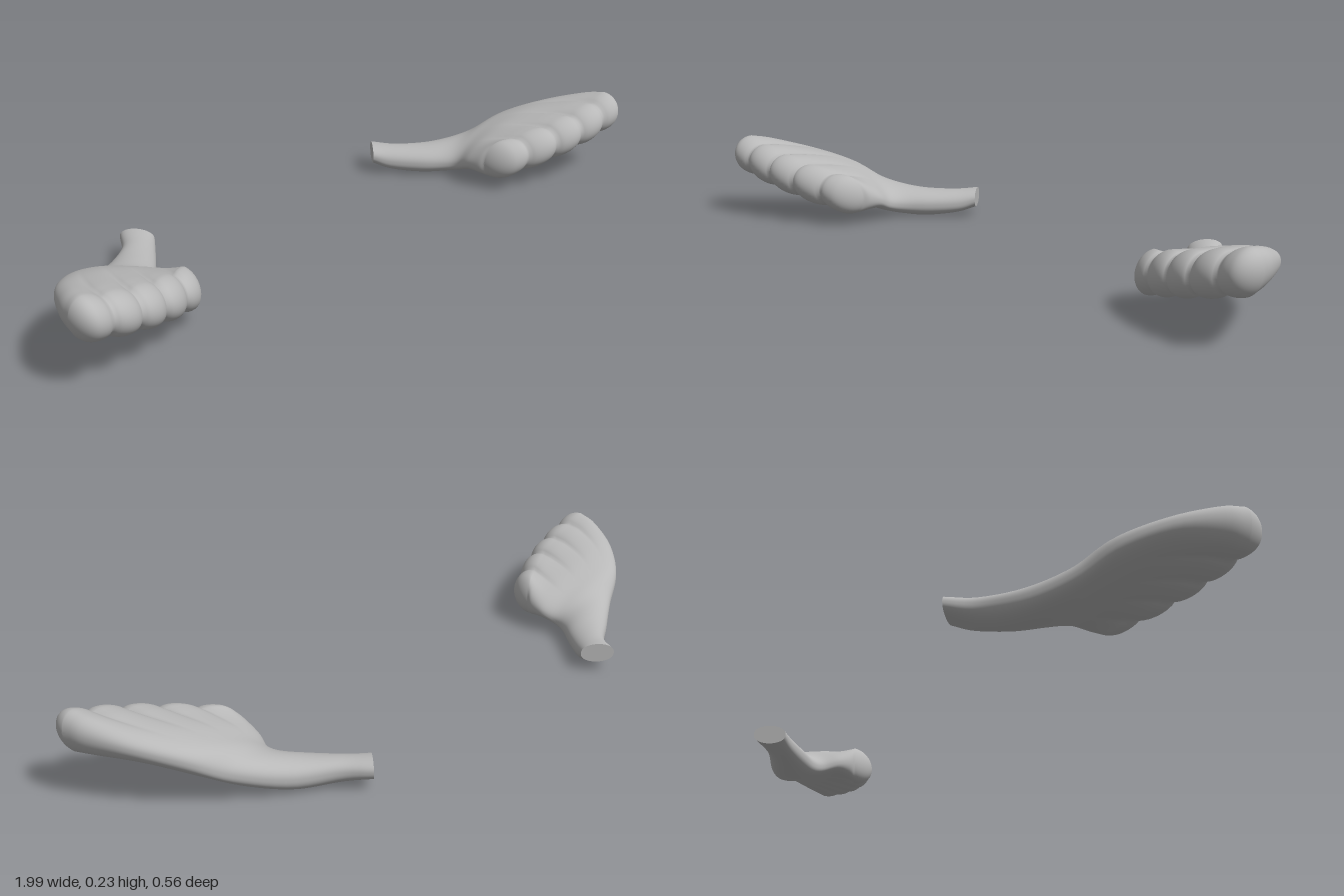
import * as THREE from 'three';
import { mergeVertices } from 'three/addons/utils/BufferGeometryUtils.js';

const AROUND = 160, BODY_ROWS = 34, TIP_ROWS = 12, TOES = 5;

// Cross-sections from wrist to toe base: inner edge, outer edge, [half thickness, toe groove strength]
const SECTIONS = [
  [[0.42, 0.055, -0.21], [0.48, 0.06, -0.28], [0.027, 0]],
  [[0.45, 0.043, -0.17], [0.53, 0.053, -0.21], [0.033, 0]],
  [[0.505, 0.04, -0.10], [0.63, 0.05, -0.145], [0.04, 0]],
  [[0.55, 0.042, -0.045], [0.735, 0.08, -0.08], [0.042, 0]],
  [[0.565, 0.05, -0.005], [0.83, 0.13, -0.03], [0.047, 0]],
  [[0.553, 0.068, 0.04], [0.92, 0.168, 0.06], [0.05, 0.1]],
  [[0.553, 0.078, 0.08], [0.98, 0.187, 0.16], [0.054, 0.65]],
  [[0.56, 0.083, 0.10], [0.997, 0.19, 0.22], [0.056, 1]],
];
const rail = (k) => new THREE.CatmullRomCurve3(
  SECTIONS.map((s) => new THREE.Vector3(s[k][0], s[k][1], s[k][2] ?? 0)), false, 'catmullrom', 0.5);
const inner = rail(0), outer = rail(1), shape = rail(2);

// Scalloped thickness across the toes: round outer sides, shallow grooves between
function toeProfile(s) {
  const p = THREE.MathUtils.clamp((s + 1) * TOES / 2, 0, TOES);
  const u = (p - Math.min(Math.floor(p), TOES - 1)) * 2 - 1;
  const round = Math.sqrt(Math.max(0, 1 - u * u));
  return p < 0.5 || p > TOES - 0.5 ? round : 0.68 + 0.32 * round;
}

// Point on the foot: t runs wrist to toe base, a goes round, w rounds off the toe tips
function footPoint(t, a, w) {
  const s = Math.cos(a), v = Math.sin(a);
  const size = shape.getPoint(t);
  const groove = THREE.MathUtils.clamp(size.y, 0, 1);
  const toe = toeProfile(s);
  const body = Math.pow(Math.abs(v), 0.85);
  const thick = size.x * THREE.MathUtils.lerp(body, toe, groove) * Math.cos(w * Math.PI / 2);
  const p = inner.getPoint(t).lerp(outer.getPoint(t), (s + 1) / 2);
  p.y += Math.sign(v) * thick;
  p.z += groove * 0.035 * (1 - s * s) + 0.062 * toe * Math.sin(w * Math.PI / 2);
  return p;
}

function buildGeometry(points, index, side) {
  const geo = new THREE.BufferGeometry();
  geo.setAttribute('position', new THREE.Float32BufferAttribute(
    points.flatMap((p) => [p.x * side, p.y, p.z]), 3));
  if (side < 0) index.reverse();
  geo.setIndex(index);
  const merged = mergeVertices(geo, 1e-5);
  merged.computeVertexNormals();
  return merged;
}

function makeFoot(side, material) {
  const points = [], index = [];
  const rows = BODY_ROWS + TIP_ROWS;
  for (let i = 0; i <= rows; i++) {
    const t = Math.min(i / BODY_ROWS, 1);
    const w = Math.max(0, (i - BODY_ROWS) / TIP_ROWS);
    for (let j = 0; j < AROUND; j++) points.push(footPoint(t, j / AROUND * Math.PI * 2, w));
  }
  for (let i = 0; i < rows; i++) {
    for (let j = 0; j < AROUND; j++) {
      const a = i * AROUND + j, b = i * AROUND + (j + 1) % AROUND;
      index.push(a, b, a + AROUND, b, b + AROUND, a + AROUND);
    }
  }
  const skin = new THREE.Mesh(buildGeometry(points, index, side), material);
  skin.name = 'footAndToes';

  // Flat cut at the narrow end
  const rim = points.slice(0, AROUND);
  const centre = rim.reduce((c, p) => c.add(p), new THREE.Vector3()).divideScalar(AROUND);
  const fan = [];
  for (let j = 0; j < AROUND; j++) fan.push(AROUND, (j + 1) % AROUND, j);
  const cap = new THREE.Mesh(buildGeometry([...rim, centre], fan, side), material);
  cap.name = 'ankleEnd';

  const foot = new THREE.Group();
  foot.add(skin, cap);
  foot.name = side > 0 ? 'leftFoot' : 'rightFoot';
  return foot;
}

export function createModel() {
  const material = new THREE.MeshStandardMaterial({ color: 0xb8b8b8 });
  material.name = 'lightGrey';
  const model = new THREE.Group();
  model.name = 'pairOfFeet';
  model.add(makeFoot(1, material), makeFoot(-1, material));
  // Stand on the ground
  model.position.y = -new THREE.Box3().setFromObject(model).min.y;
  return model;
}
